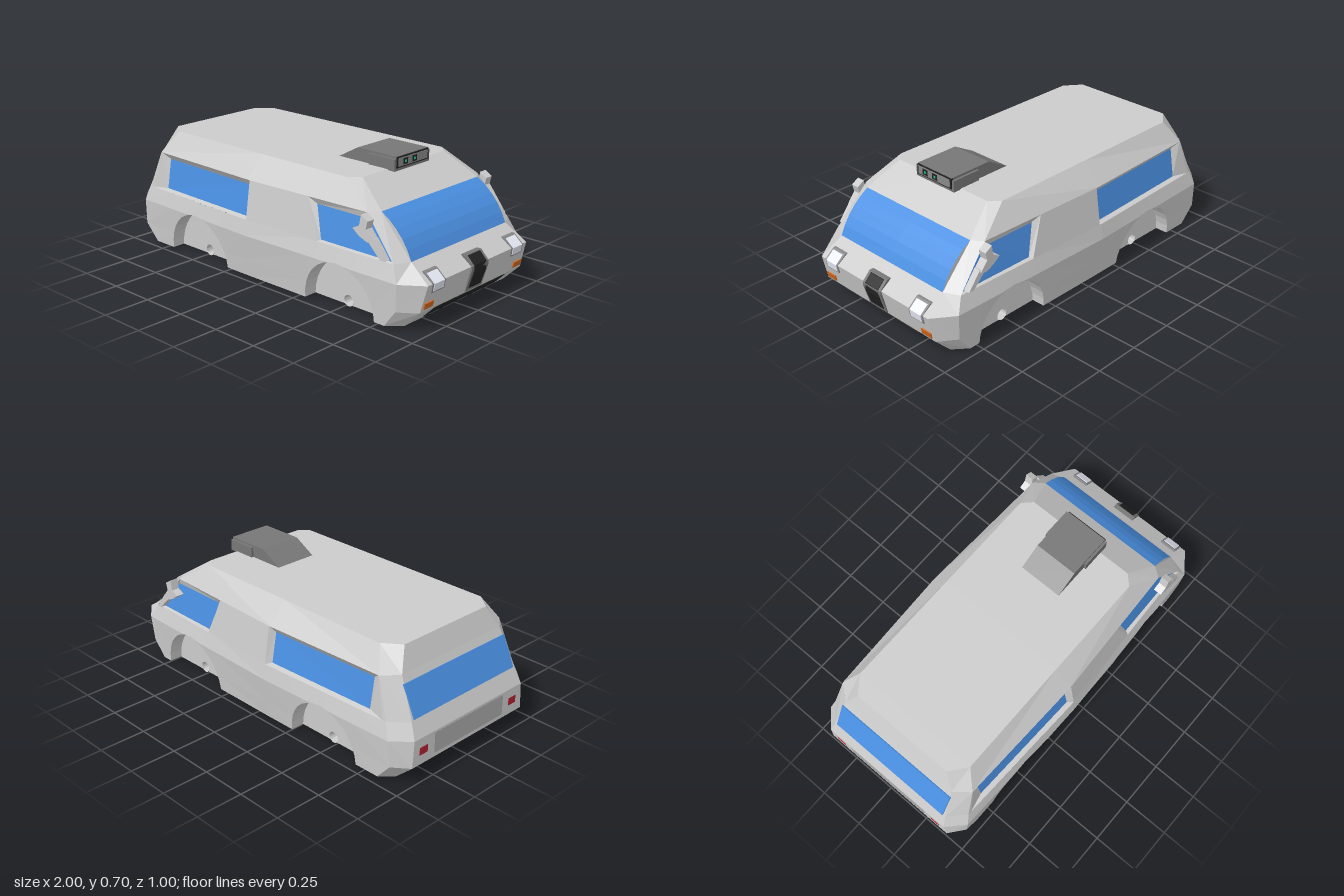
import * as THREE from 'three';

const GREY = 0xcccccc, BLUE = 0x4a90e2, BLACK = 0x222222, DARK = 0x777777;
const mat = (color, side = THREE.FrontSide) => new THREE.MeshStandardMaterial({ color, side, flatShading: true });

// Plan outline at each height: rear end, rear corner, mid side width, front corner, front end (x, z)
const RINGS = [
  { y: 0.01, r: [-0.9, 0.4], rc: [-0.84, 0.46], m: 0.465, fc: [0.8, 0.46], f: [0.87, 0.4] },
  { y: 0.1, r: [-1, 0.4], rc: [-0.92, 0.465], m: 0.478, fc: [0.87, 0.465], f: [0.96, 0.4] },
  { y: 0.24, r: [-1, 0.39], rc: [-0.91, 0.475], m: 0.5, fc: [0.88, 0.475], f: [0.995, 0.39] },
  { y: 0.32, r: [-0.965, 0.375], rc: [-0.88, 0.455], m: 0.485, fc: [0.84, 0.45], f: [0.88, 0.37] },
  { y: 0.52, r: [-0.875, 0.35], rc: [-0.81, 0.43], m: 0.455, fc: [0.66, 0.425], f: [0.7, 0.37] },
  { y: 0.635, r: [-0.83, 0.29], rc: [-0.74, 0.36], m: 0.36, fc: [0.48, 0.36], f: [0.53, 0.31] },
];
const MID = -0.1, WHEELS = [-0.48, 0.52], ARCH = 0.22, ARCH_H = 0.238, WELL_Z = 0.39;
const lerp = THREE.MathUtils.lerp;

// Outline interpolated at any height, and side width at any x and height
function ringAt(y) {
  let i = 0;
  while (i < RINGS.length - 2 && y > RINGS[i + 1].y) i++;
  const a = RINGS[i], b = RINGS[i + 1], t = (y - a.y) / (b.y - a.y);
  const mix = (k) => [lerp(a[k][0], b[k][0], t), lerp(a[k][1], b[k][1], t)];
  return { rc: mix('rc'), fc: mix('fc'), m: lerp(a.m, b.m, t) };
}
function sideZ(x, y) {
  const g = ringAt(y), end = x < MID ? g.rc : g.fc;
  return lerp(g.m, end[1], (x - MID) / (end[0] - MID));
}
const onSide = (x, y, depth = 0) => [x, y, sideZ(x, y) - depth];
const at = (ring, k) => [ring[k][0], ring.y, ring[k][1]];

// Collects faces of the +z half and mirrors them to the other half
class Faces {
  pos = [];
  tri(a, b, c) {
    const [A, B, C] = [a, b, c].map((p) => new THREE.Vector3(...p));
    if (B.sub(A).cross(C.sub(A)).length() < 1e-7) return;
    const flip = (p) => [p[0], p[1], -p[2]];
    this.pos.push(...a, ...b, ...c, ...flip(a), ...flip(c), ...flip(b));
  }
  quad(a, b, c, d) { this.tri(a, b, c); this.tri(a, c, d); }
  mesh(name, color, side) {
    const g = new THREE.BufferGeometry();
    g.setAttribute('position', new THREE.Float32BufferAttribute(this.pos, 3));
    g.computeVertexNormals();
    const m = new THREE.Mesh(g, mat(color, side));
    m.name = name;
    return m;
  }
}

// Columns along the side, dense over the wheel arches
const COLS = [{ end: 'rc' }];
WHEELS.forEach((c, w) => {
  for (let i = 0; i <= 16; i++) {
    const a = Math.PI * (1 - i / 16);
    COLS.push({ x: c + ARCH * Math.cos(a), y: 0.01 + ARCH_H * Math.sin(a), wheel: w });
  }
  if (w === 0) COLS.push({ x: MID });
});
COLS.push({ end: 'fc' });
const colPoint = (c, y) => {
  const h = Math.max(y, c.y ?? 0);
  return onSide(c.end ? ringAt(h)[c.end][0] : c.x, h);
};

function buildShell() {
  const body = new Faces(), glass = new Faces(), floor = new Faces(), wells = new Faces();
  const centre = (p) => [p[0], p[1], 0];
  // Ends and corners
  for (let i = 0; i < RINGS.length - 1; i++) {
    const a = RINGS[i], b = RINGS[i + 1];
    const [ar, br, af, bf] = [at(a, 'r'), at(b, 'r'), at(a, 'f'), at(b, 'f')];
    body.quad(centre(ar), ar, br, centre(br));
    body.quad(ar, at(a, 'rc'), at(b, 'rc'), br);
    body.quad(at(a, 'fc'), af, bf, at(b, 'fc'));
    if (i !== 3) body.quad(af, centre(af), centre(bf), bf);
  }
  // Lower sides with arches, wheel well ceilings and floor
  for (let i = 0; i < COLS.length - 1; i++) {
    const c = COLS[i], d = COLS[i + 1];
    for (let k = 0; k < 3; k++) {
      const [y0, y1] = [RINGS[k].y, RINGS[k + 1].y];
      body.quad(colPoint(c, y0), colPoint(d, y0), colPoint(d, y1), colPoint(c, y1));
    }
    let [p, q] = [colPoint(c, 0.01), colPoint(d, 0.01)];
    if (c.wheel !== undefined && c.wheel === d.wheel) {
      const [pi, qi] = [p, q].map((v) => [v[0], v[1], WELL_Z]);
      wells.quad(p, pi, qi, q);
      [p, q] = [pi, qi].map((v) => [v[0], 0.01, v[2]]);
    }
    floor.quad(centre(p), centre(q), q, p);
  }
  const e = RINGS[0];
  floor.quad(centre(at(e, 'r')), centre(at(e, 'rc')), at(e, 'rc'), at(e, 'r'));
  floor.quad(centre(at(e, 'fc')), centre(at(e, 'f')), at(e, 'f'), at(e, 'fc'));
  // Window band: solid posts between recessed windows
  const post = (x0, x1, X0, X1) => body.quad(onSide(x0, 0.32), onSide(x1, 0.32), onSide(X1, 0.52), onSide(X0, 0.52));
  post(-0.88, -0.86, -0.81, -0.805);
  post(-0.09, 0.38, -0.09, 0.3);
  const recess = (outer, inner) => {
    for (let i = 0; i < 4; i++) body.quad(outer[i], outer[(i + 1) % 4], inner[(i + 1) % 4], inner[i]);
    glass.quad(...inner);
  };
  recess([onSide(-0.86, 0.32), onSide(-0.09, 0.32), onSide(-0.09, 0.52), onSide(-0.805, 0.52)],
    [onSide(-0.76, 0.328, 0.025), onSide(-0.115, 0.328, 0.025), onSide(-0.115, 0.487, 0.03), onSide(-0.76, 0.487, 0.03)]);
  recess([onSide(0.38, 0.32), onSide(0.84, 0.32), onSide(0.66, 0.52), onSide(0.3, 0.52)],
    [onSide(0.39, 0.325, 0.02), onSide(0.83, 0.325, 0.012), onSide(0.675, 0.487, 0.015), onSide(0.34, 0.487, 0.025)]);
  // Upper side slope and roof
  const [s, t] = [RINGS[4], RINGS[5]];
  const sm = [MID, s.y, s.m], tm = [MID, t.y, t.m];
  body.quad(at(s, 'rc'), sm, tm, at(t, 'rc'));
  body.quad(sm, at(s, 'fc'), at(t, 'fc'), tm);
  const rim = [at(t, 'r'), at(t, 'rc'), tm, at(t, 'fc'), at(t, 'f')];
  for (let i = 0; i < 4; i++) body.quad(rim[i], rim[i + 1], centre(rim[i + 1]), centre(rim[i]));
  // Bowed windscreen with its side slivers
  const [lo, hi] = [at(RINGS[3], 'f'), at(s, 'f')];
  const curve = new THREE.QuadraticBezierCurve(new THREE.Vector2(lo[0], lo[1]), new THREE.Vector2(0.825, 0.45), new THREE.Vector2(hi[0], hi[1]));
  const pts = curve.getPoints(5).map((p) => [p.x, p.y, 0.37]);
  for (let i = 0; i < 5; i++) {
    glass.quad(pts[i], centre(pts[i]), centre(pts[i + 1]), pts[i + 1]);
    body.tri(lo, pts[i], pts[i + 1]);
  }
  return [body.mesh('bodyShell', GREY), glass.mesh('windows', BLUE), floor.mesh('floor', GREY, THREE.DoubleSide),
    wells.mesh('wheelArches', GREY, THREE.DoubleSide)];
}

// Solid from a side outline, centred on z
function slab(name, color, points, width, z = 0) {
  const g = new THREE.ExtrudeGeometry(new THREE.Shape(points.map((p) => new THREE.Vector2(...p))), { depth: width, bevelEnabled: false });
  const m = new THREE.Mesh(g.translate(0, 0, z - width / 2), mat(color));
  m.name = name;
  return m;
}

// Thin plate lying on an end face, leaning by tilt
function plate(name, color, x, y, z, width, height, tilt = 0, thick = 0.012) {
  const m = new THREE.Mesh(new THREE.BoxGeometry(thick, height, width), mat(color));
  m.position.set(x, y, z);
  m.rotation.z = tilt;
  m.name = name;
  return m;
}

export function createModel() {
  const van = new THREE.Group();
  van.name = 'van';
  van.add(...buildShell());

  // Wheel well walls with axle holes, and axle tubes
  for (const c of WHEELS) {
    const wall = new THREE.Shape();
    wall.moveTo(c + ARCH, 0.01);
    wall.absellipse(c, 0.01, ARCH, ARCH_H, 0, Math.PI, false);
    wall.lineTo(c - 0.03, 0.01);
    wall.absarc(c, 0.03, 0.03, Math.PI, 0, true);
    wall.lineTo(c + 0.03, 0.01);
    for (const s of [1, -1]) {
      const m = new THREE.Mesh(new THREE.ShapeGeometry(wall, 16), mat(GREY, THREE.DoubleSide));
      m.position.z = s * WELL_Z;
      m.name = 'wheelWell';
      van.add(m);
    }
    const tube = new THREE.Mesh(new THREE.CylinderGeometry(0.03, 0.03, WELL_Z * 2, 16, 1, true), mat(GREY, THREE.DoubleSide));
    tube.rotation.x = Math.PI / 2;
    tube.position.set(c, 0.03, 0);
    tube.name = 'axleTube';
    van.add(tube);
  }

  // Nose: lower grille and centre intake
  van.add(plate('lowerGrille', BLACK, 0.918, 0.062, 0, 0.56, 0.09, -0.785));
  van.add(slab('intakeFrame', DARK, [[0.93, 0.105], [0.965, 0.105], [1, 0.22], [1, 0.24], [0.955, 0.285], [0.9, 0.285]], 0.13));
  van.add(slab('intake', BLACK, [[0.93, 0.12], [0.972, 0.12], [1, 0.2], [1, 0.243], [0.962, 0.282], [0.9, 0.28]], 0.095));
  // Lamps, both ends
  for (const s of [1, -1]) {
    van.add(slab('headlightFrame', 0x888888, [[0.95, 0.195], [0.99, 0.195], [0.997, 0.24], [0.944, 0.285], [0.9, 0.285]], 0.095, s * 0.31));
    van.add(slab('headlight', 0xe8ecf8, [[0.95, 0.202], [0.994, 0.202], [1, 0.24], [0.955, 0.279], [0.9, 0.277]], 0.075, s * 0.31));
    van.add(plate('turnSignal', 0xd2691e, 0.968, 0.132, s * 0.352, 0.065, 0.032, -0.245));
    van.add(plate('tailLight', 0xb02030, -0.995, 0.17, s * 0.325, 0.055, 0.04));
  }
  // Tail: rear window and panel
  van.add(plate('rearWindow', BLUE, -0.928, 0.405, 0, 0.72, 0.17, -0.423));
  van.add(plate('rearPanel', 0xaaaaaa, -0.995, 0.175, 0, 0.5, 0.11));

  // Roof scoop with its lamp box
  van.add(slab('roofScoop', DARK, [[0.2, 0.63], [0.575, 0.63], [0.575, 0.702], [0.33, 0.702]], 0.24));
  van.add(slab('scoopCheeks', DARK, [[0.41, 0.63], [0.575, 0.63], [0.575, 0.69], [0.41, 0.69]], 0.265));
  van.add(plate('scoopFace', BLACK, 0.574, 0.672, 0, 0.24, 0.055));
  van.add(plate('scoopInset', 0x888888, 0.577, 0.672, 0, 0.22, 0.042));
  for (const z of [0.06, -0.008]) {
    van.add(plate('sensorFrame', BLACK, 0.579, 0.672, z, 0.034, 0.03));
    van.add(plate('sensorLight', 0x20c080, 0.581, 0.672, z, 0.012, 0.012));
  }

  // Door mirrors with forked brackets
  for (const s of [1, -1]) {
    van.add(slab('mirror', GREY, [[0.62, 0.45], [0.66, 0.42], [0.71, 0.4], [0.74, 0.41], [0.7, 0.46], [0.71, 0.5], [0.67, 0.525], [0.66, 0.47]], 0.045, s * 0.458));
    van.add(slab('mirrorArm', GREY, [[0.7, 0.41], [0.78, 0.33], [0.81, 0.33], [0.74, 0.42]], 0.035, s * 0.455));
  }
  return van;
}
